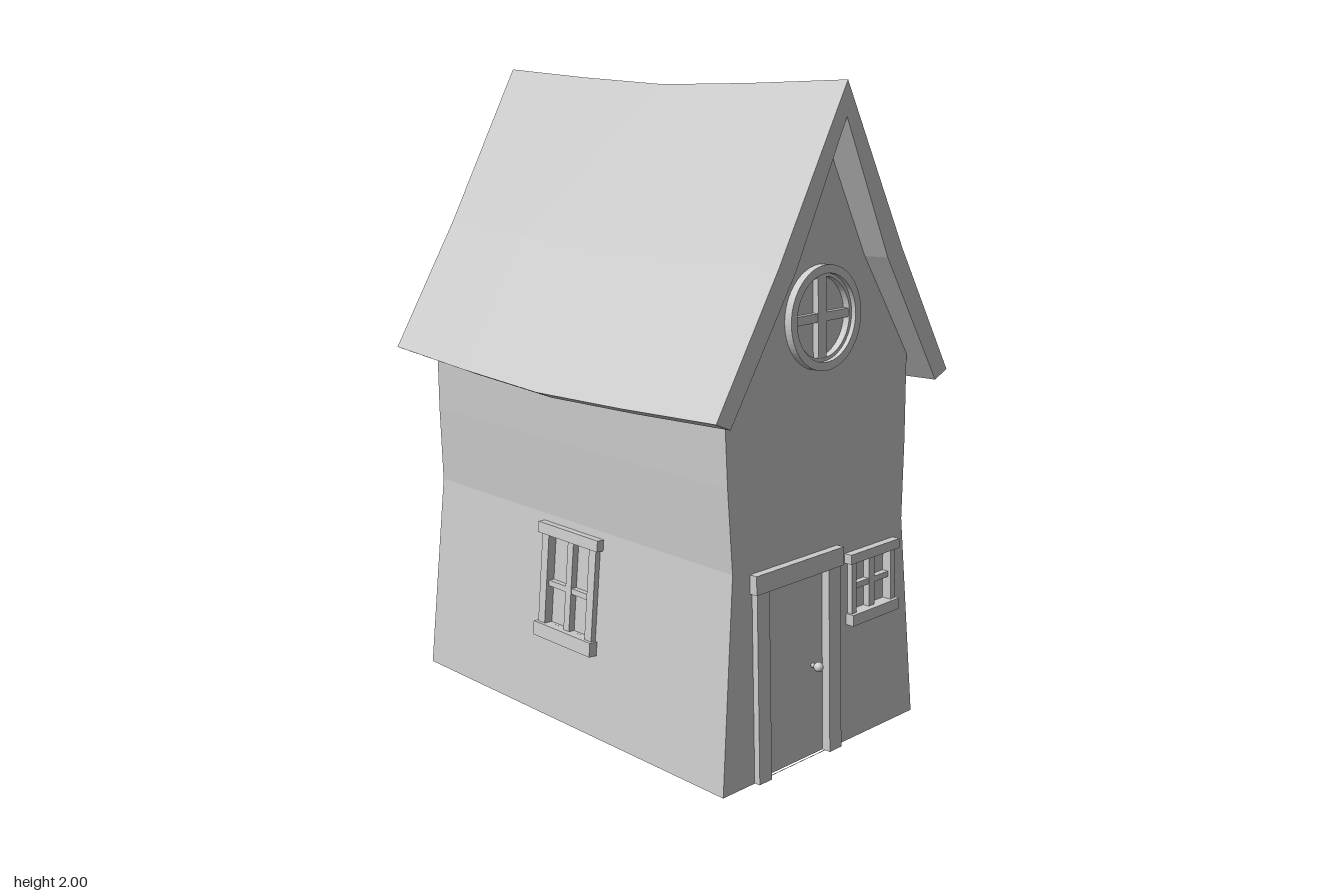
import * as THREE from 'three';

const paint = new THREE.MeshStandardMaterial({ color: 0xcccccc, side: THREE.DoubleSide });
paint.name = 'plain grey';

const LEAN = 0.036; // front and back walls lean inward with height
const SIDE_LEAN = 0.083; // lower side walls lean inward more
const endZ = (y) => 0.698 - LEAN * y;
const sideX = (y) => 0.434 - SIDE_LEAN * y;
// half width of the house at each height, pinched at the middle
const WAIST = [[0.434, 0], [0.38, 0.65], [0.394, 0.9], [0.402, 1.17]];

function add(parent, name, geometry, x = 0, y = 0, z = 0) {
  const mesh = new THREE.Mesh(geometry, paint);
  mesh.name = name;
  mesh.position.set(x, y, z);
  parent.add(mesh);
  return mesh;
}

function group(parent, name) {
  const g = new THREE.Group();
  g.name = name;
  parent.add(g);
  return g;
}

// box given by its left, right, bottom, top, back and front limits
function block(parent, name, x0, x1, y0, y1, z0, z1) {
  return add(parent, name, new THREE.BoxGeometry(x1 - x0, y1 - y0, z1 - z0),
    (x0 + x1) / 2, (y0 + y1) / 2, (z0 + z1) / 2);
}

const polygon = (pts, Type = THREE.Shape) => new Type(pts.map(([x, y]) => new THREE.Vector2(x, y)));
const rectHole = (x0, x1, y0, y1) => polygon([[x0, y0], [x0, y1], [x1, y1], [x1, y0]], THREE.Path);

function circleHole(x, y, r) {
  const path = new THREE.Path();
  path.absarc(x, y, r, 0, Math.PI * 2, true);
  return path;
}

// flat wall panel whose points are moved into place by a rule
function panel(parent, name, pts, holes, place) {
  const shape = polygon(pts);
  shape.holes.push(...holes);
  const geo = new THREE.ShapeGeometry(shape, 32);
  const p = geo.attributes.position;
  for (let i = 0; i < p.count; i++) p.setXYZ(i, ...place(p.getX(i), p.getY(i)));
  geo.computeVertexNormals();
  return add(parent, name, geo);
}

function endWall(parent, name, holes) {
  const right = [...WAIST, [0.21, 1.5]];
  const left = right.map(([x, y]) => [-x, y]).reverse();
  return panel(parent, name, [...right, [0, 1.93], ...left], holes, (x, y) => [x, y, endZ(y)]);
}

// sash window centred on x = 0, with y measured from the bottom of the sill
function sashWindow(parent, name, s) {
  const g = group(parent, name);
  const { w, h, open, sill, head, bar } = s;
  const top = h - head;
  block(g, 'sill', -w / 2, w / 2, 0, sill, -0.02, 0.03);
  block(g, 'head', -w / 2 - 0.005, w / 2 + 0.005, top, h, -0.02, 0.026);
  for (const side of [-1, 1]) {
    const a = side * open / 2, b = side * (w / 2 - 0.008);
    block(g, 'jamb', Math.min(a, b), Math.max(a, b), sill, top, -0.02, 0.018);
  }
  block(g, 'mullion', -0.013, 0.013, sill, top, -0.02, 0.01);
  block(g, 'crossbar', -open / 2, open / 2, bar - 0.009, bar + 0.009, -0.02, 0.008);
  add(g, 'pane', new THREE.PlaneGeometry(open, top - sill), 0, (top + sill) / 2, -0.012);
  return g;
}

function ring(outer, inner, depth) {
  const shape = new THREE.Shape();
  shape.absarc(0, 0, outer, 0, Math.PI * 2, false);
  shape.holes.push(circleHole(0, 0, inner));
  return new THREE.ExtrudeGeometry(shape, { depth, bevelEnabled: false, curveSegments: 32 });
}

// set a fitting flush on the leaning front wall
function onFront(g, x, y) {
  g.position.set(x, y, endZ(y));
  g.rotation.x = -Math.atan(LEAN);
}

export function createModel() {
  const house = new THREE.Group();
  house.name = 'house';

  // front and back walls
  endWall(house, 'frontWall', [
    rectHole(-0.252, 0.012, 0.002, 0.58),
    rectHole(0.14, 0.304, 0.41, 0.57),
    circleHole(0, 1.33, 0.122),
  ]);
  endWall(house, 'backWall', []).rotation.y = Math.PI;

  // side walls, each with a window
  for (const turn of [0, Math.PI]) {
    const side = group(house, turn ? 'rightSide' : 'leftSide');
    side.rotation.y = turn;
    for (let i = 0; i < WAIST.length - 1; i++) {
      const [x0, y0] = WAIST[i], [x1, y1] = WAIST[i + 1];
      const pts = [[-endZ(y0), y0], [endZ(y0), y0], [endZ(y1), y1], [-endZ(y1), y1]];
      const holes = i === 0 ? [rectHole(-0.095, 0.095, 0.305, 0.585)] : [];
      panel(side, 'sideWall', pts, holes,
        (u, y) => [x0 + (x1 - x0) * (y - y0) / (y1 - y0), y, -u]);
    }
    const win = sashWindow(side, 'sideWindow',
      { w: 0.268, h: 0.368, open: 0.19, sill: 0.045, head: 0.035, bar: 0.175 });
    win.position.set(sideX(0.26), 0.26, 0);
    win.rotation.set(-Math.atan(SIDE_LEAN), Math.PI / 2, 0, 'YXZ');
  }

  // door with frame and knob
  const door = group(house, 'door');
  block(door, 'doorPanel', -0.255, 0.015, 0.002, 0.585, -0.02, -0.008);
  block(door, 'leftPost', 0.01, 0.064, 0.001, 0.58, -0.025, 0.02);
  block(door, 'rightPost', -0.302, -0.25, 0.001, 0.58, -0.025, 0.02);
  block(door, 'lintel', -0.31, 0.071, 0.578, 0.635, -0.025, 0.026);
  const stem = add(door, 'knobStem', new THREE.CylinderGeometry(0.007, 0.007, 0.025, 12), -0.035, 0.285, 0.002);
  stem.rotation.x = Math.PI / 2;
  add(door, 'knob', new THREE.SphereGeometry(0.015, 16, 12), -0.035, 0.285, 0.016);
  onFront(door, 0, 0);

  // small front window
  const small = sashWindow(house, 'frontWindow',
    { w: 0.222, h: 0.225, open: 0.164, sill: 0.035, head: 0.03, bar: 0.115 });
  onFront(small, 0.222, 0.375);

  // round gable window
  const round = group(house, 'roundWindow');
  add(round, 'outerRing', ring(0.153, 0.128, 0.045), 0, 0, -0.02);
  add(round, 'innerRing', ring(0.13, 0.118, 0.03), 0, 0, -0.02);
  block(round, 'mullion', -0.018, 0.018, -0.12, 0.12, -0.02, 0.008);
  block(round, 'crossbar', -0.12, 0.12, -0.013, 0.013, -0.02, 0.006);
  add(round, 'pane', new THREE.CircleGeometry(0.122, 32), 0, 0, -0.012);
  onFront(round, 0, 1.33);

  // roof: bent gable profile, sagging towards the middle of its length
  const outer = [[0.508, 1.115], [0.268, 1.51]];
  const inner = [[0.2, 1.49], [0.452, 1.09]];
  const mirror = (pts) => pts.map(([x, y]) => [-x, y]).reverse();
  const profile = polygon([...outer, [0, 2], ...mirror(outer), ...mirror(inner), [0, 1.9], ...inner]);
  const roof = new THREE.ExtrudeGeometry(profile, { depth: 1.46, steps: 4, bevelEnabled: false });
  roof.translate(0, 0, -0.73);
  const p = roof.attributes.position;
  for (let i = 0; i < p.count; i++) {
    const sag = 1 - Math.pow(Math.min(1, Math.abs(p.getZ(i)) / 0.73), 1.3);
    p.setX(i, p.getX(i) * (1 + 0.025 * sag));
    p.setY(i, p.getY(i) - 0.031 * sag);
  }
  roof.computeVertexNormals();
  add(house, 'roof', roof);

  return house;
}
